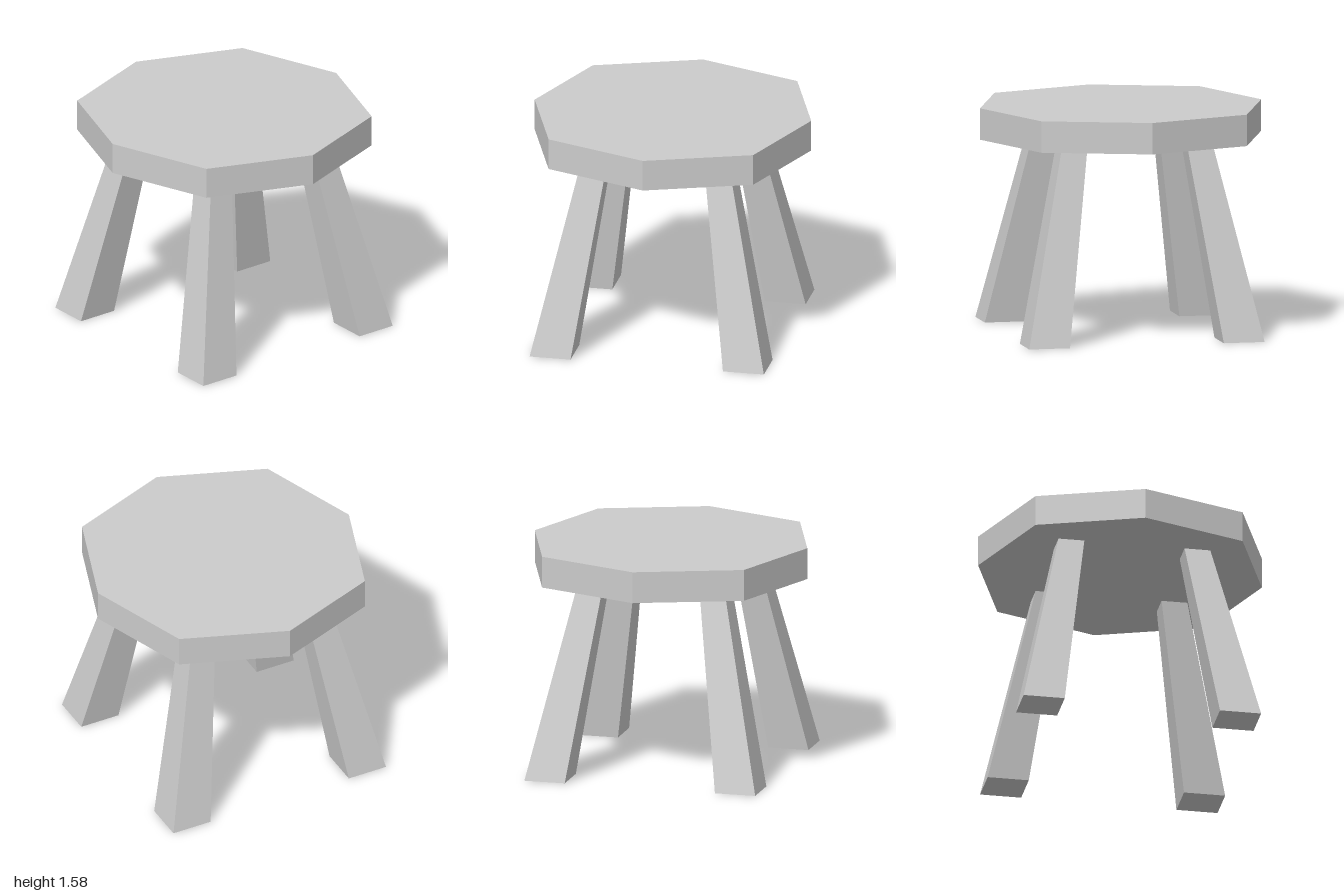
import * as THREE from 'three';

const SEAT_BOTTOM = 1.36;
const SEAT_TOP = 1.58;

// Slightly irregular octagonal slab
function createSeat(material) {
  const outline = [
    [0.98, 0], [0.725, 0.73], [0, 1], [-0.725, 0.73],
    [-0.98, 0], [-0.725, -0.73], [0, -1], [0.725, -0.73],
  ].map(([x, y]) => new THREE.Vector2(x, y));
  const geometry = new THREE.ExtrudeGeometry(new THREE.Shape(outline), {
    depth: SEAT_TOP - SEAT_BOTTOM,
    bevelEnabled: false,
  });
  geometry.rotateX(-Math.PI / 2).translate(0, SEAT_BOTTOM, 0);
  const seat = new THREE.Mesh(geometry, material);
  seat.name = 'seat';
  return seat;
}

// Square leg, splayed outwards and thicker at the foot
function createLeg(name, sx, sz, material) {
  const geometry = new THREE.BoxGeometry(1, SEAT_BOTTOM, 1);
  geometry.translate(0, SEAT_BOTTOM / 2, 0);
  const position = geometry.attributes.position;
  for (let i = 0; i < position.count; i++) {
    const t = position.getY(i) / SEAT_BOTTOM;
    const width = THREE.MathUtils.lerp(0.29, 0.182, t);
    const centre = THREE.MathUtils.lerp(0.685, 0.437, t);
    position.setX(i, position.getX(i) * width + sx * centre - 0.006);
    position.setZ(i, position.getZ(i) * width + sz * (centre + 0.007) + 0.003);
  }
  geometry.computeVertexNormals();
  const leg = new THREE.Mesh(geometry, material);
  leg.name = name;
  return leg;
}

export function createModel() {
  const material = new THREE.MeshStandardMaterial({ color: 0xcccccc, flatShading: true });
  const stool = new THREE.Group();
  stool.name = 'stool';
  stool.add(createSeat(material));
  for (const [sz, end] of [[1, 'front'], [-1, 'back']]) {
    for (const [sx, side] of [[1, 'Left'], [-1, 'Right']]) {
      stool.add(createLeg(`${end}${side}Leg`, sx, sz, material));
    }
  }
  return stool;
}
